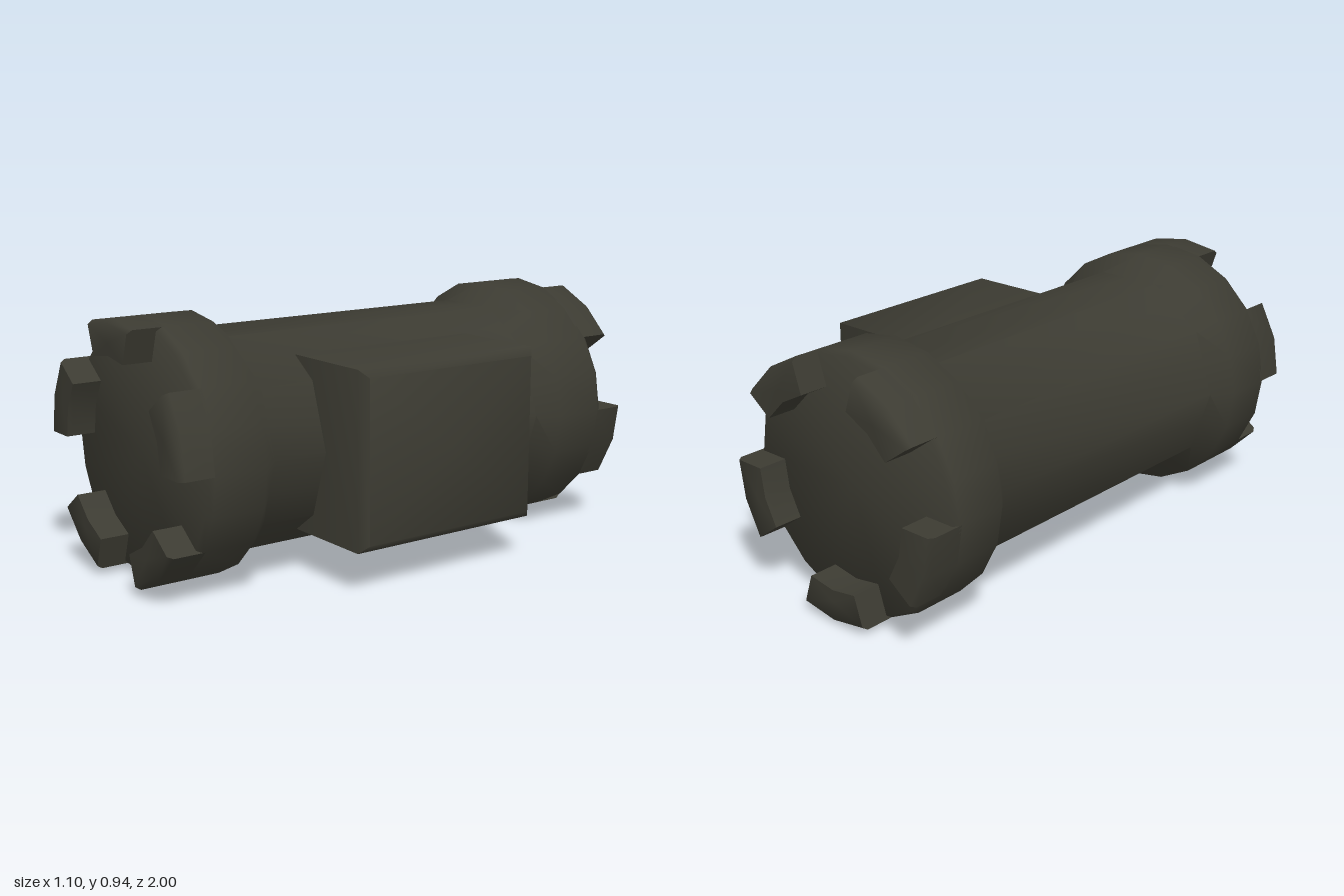
import * as THREE from 'three';
import { toCreasedNormals } from 'three/addons/utils/BufferGeometryUtils.js';

const CREASE = 1.0;
const STEP = Math.PI / 10; // 20 sides around the axis

// Closed solid through equal-length rings, each capped with a fan at the ends.
function loft(rings) {
  const n = rings[0].length;
  const pos = [];
  const tri = (...pts) => pts.forEach((p) => pos.push(p.x, p.y, p.z));
  for (let i = 0; i < rings.length - 1; i++) {
    const a = rings[i], b = rings[i + 1];
    for (let j = 0; j < n; j++) {
      const k = (j + 1) % n;
      tri(a[j], a[k], b[k]);
      tri(a[j], b[k], b[j]);
    }
  }
  const cap = (ring, flip) => {
    const c = new THREE.Vector3();
    ring.forEach((p) => c.addScaledVector(p, 1 / n));
    for (let j = 0; j < n; j++) {
      const k = (j + 1) % n;
      if (flip) tri(c, ring[k], ring[j]);
      else tri(c, ring[j], ring[k]);
    }
  };
  cap(rings[0], true);
  cap(rings[rings.length - 1], false);
  const g = new THREE.BufferGeometry();
  g.setAttribute('position', new THREE.Float32BufferAttribute(pos, 3));
  return toCreasedNormals(g, CREASE);
}

const polar = (r, a, z) => new THREE.Vector3(r * Math.cos(a), r * Math.sin(a), z);

export function createModel() {
  const root = new THREE.Group();
  root.name = 'notchedCoupling';
  const metal = new THREE.MeshStandardMaterial({ color: 0x3c3b32 });
  metal.name = 'dark olive metal';

  const add = (parent, name, geometry) => {
    const mesh = new THREE.Mesh(geometry, metal);
    mesh.name = name;
    parent.add(mesh);
    return mesh;
  };

  const assembly = new THREE.Group();
  assembly.name = 'coupling';
  assembly.position.set(-0.08, 0.48, 0);
  root.add(assembly);

  // Barrel: ten-sided shaft that flares into a twenty-sided collar at each end
  const half = [[0.6, 0.41, 0.39], [0.67, 0.472, 0.472], [0.87, 0.472, 0.472], [0.89, 0.458, 0.458]];
  const profile = [
    ...half.map(([z, even, odd]) => [-z, even, odd]).reverse(),
    ...half,
  ];
  add(assembly, 'barrel', loft(profile.map(([z, even, odd]) =>
    Array.from({ length: 20 }, (_, i) => polar(i % 2 ? odd : even, i * STEP, z)))));

  // Five teeth on each end; the back set is the front set turned over
  const inner = 0.345;
  const toothRing = (outer, z) => [
    ...[-1, 0, 1].map((i) => polar(outer, i * STEP, z)),
    ...[1, 0, -1].map((i) => polar(inner, i * STEP, z)),
  ];
  const toothGeometry = loft([toothRing(0.472, 0.86), toothRing(0.472, 0.98), toothRing(0.458, 1)]);
  for (const end of ['front', 'back']) {
    const teeth = new THREE.Group();
    teeth.name = end + 'Teeth';
    if (end === 'back') teeth.rotation.x = Math.PI;
    for (let i = 0; i < 5; i++) {
      const tooth = add(teeth, end + 'Tooth', toothGeometry);
      tooth.rotation.z = Math.PI / 2 + (i * 2 * Math.PI) / 5;
    }
    assembly.add(teeth);
  }

  // Side block with a chamfered outer face
  const rect = (x, inset) => [[-1, -1], [1, -1], [1, 1], [-1, 1]].map(([sy, sz]) =>
    new THREE.Vector3(x, 0.48 + sy * (0.318 - inset), sz * (0.39 - inset)));
  add(root, 'sideBlock', loft([rect(0.05, 0), rect(0.515, 0), rect(0.545, 0.028)]));

  return root;
}
